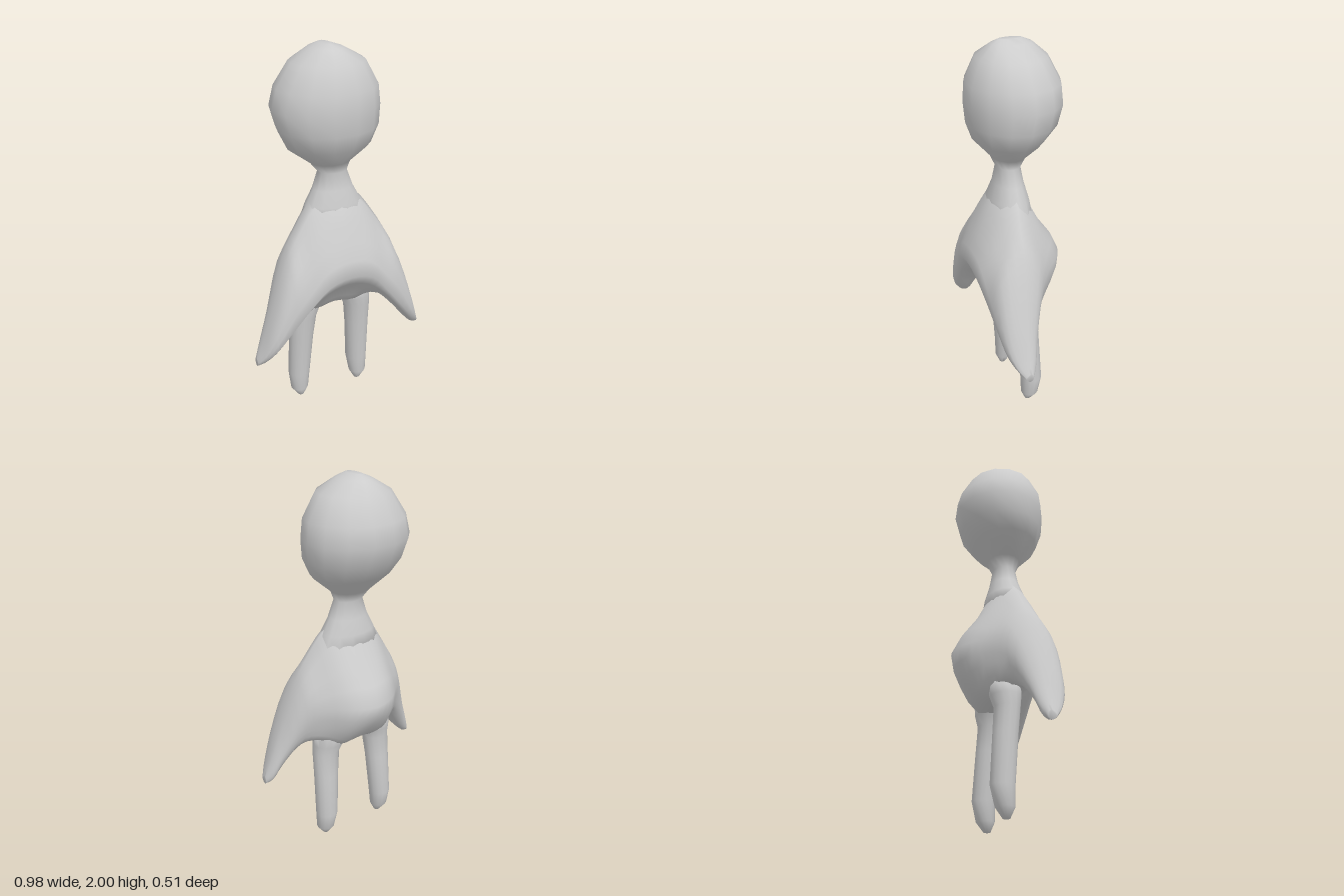
import * as THREE from 'three';

// Closed skin over equal loops of points; loops turn counter-clockwise about the loft direction
function skin(loops) {
  const n = loops[0].length, last = (loops.length - 1) * n, index = [];
  for (let i = 0; i < last; i += n) {
    for (let j = 0; j < n; j++) {
      const a = i + j, b = i + (j + 1) % n;
      index.push(a, b, a + n, b, b + n, a + n);
    }
  }
  for (let j = 1; j < n - 1; j++) {
    index.push(0, j + 1, j, last, last + j, last + j + 1);
  }
  const g = new THREE.BufferGeometry().setFromPoints(loops.flat());
  g.setIndex(index);
  g.computeVertexNormals();
  return g;
}

// Horizontal elliptic sections from bottom to top: [y, xMin, xMax, zFront, zBack]
function stack(rings) {
  const seg = 14;
  return skin(rings.map(([y, x0, x1, zf, zb]) => Array.from({ length: seg }, (_, j) => {
    const a = (j / seg) * Math.PI * 2;
    return new THREE.Vector3(
      (x0 + x1) / 2 + Math.cos(a) * (x1 - x0) / 2, y,
      (zf + zb) / 2 - Math.sin(a) * (zf - zb) / 2);
  })));
}

// Upright slices [x, [y, z]...] from the middle of the body to one wrist. Each runs
// from the top ridge down the front to the hem, underneath, then up the back.
const SLICES = [
  [0, [1.3, 0.02], [1.2, 0.125], [1.03, 0.205], [0.86, 0.258], [0.74, 0.15],
    [0.61, 0.05], [0.59, -0.07], [0.72, -0.2], [0.86, -0.255], [1.06, -0.13]],
  [0.12, [1.24, 0.03], [1.15, 0.12], [1.0, 0.2], [0.83, 0.255], [0.71, 0.15],
    [0.6, 0.06], [0.59, -0.08], [0.72, -0.18], [0.86, -0.215], [1.05, -0.11]],
  [0.22, [1.11, 0.05], [1.03, 0.13], [0.9, 0.205], [0.72, 0.235], [0.66, 0.16],
    [0.63, 0.05], [0.64, -0.06], [0.73, -0.1], [0.85, -0.12], [0.98, -0.06]],
  [0.3, [0.97, 0.06], [0.92, 0.15], [0.8, 0.21], [0.62, 0.22], [0.575, 0.16],
    [0.575, 0.07], [0.63, 0.0], [0.7, -0.03], [0.8, -0.045], [0.9, -0.02]],
  [0.4, [0.69, 0.09], [0.66, 0.16], [0.58, 0.2], [0.49, 0.195], [0.45, 0.15],
    [0.45, 0.1], [0.49, 0.06], [0.55, 0.035], [0.6, 0.035], [0.65, 0.05]],
  [0.455, [0.52, 0.1], [0.5, 0.14], [0.46, 0.17], [0.42, 0.155], [0.395, 0.13],
    [0.39, 0.1], [0.41, 0.075], [0.44, 0.065], [0.47, 0.065], [0.5, 0.075]],
];

// Body and both arms as one cape-like skin, lofted from hand to hand
function cape() {
  const [wristX, ...wrist] = SLICES[SLICES.length - 1];
  const tip = [wristX + 0.033, ...wrist.map(([y, z]) => [0.4 + (y - 0.45) * 0.35, 0.11 + (z - 0.11) * 0.4])];
  const left = [...SLICES, tip];
  const right = left.slice(1).reverse().map(([x, ...pts]) => [-x, ...pts]);
  const loops = [...right, ...left].map(([x, ...pts]) =>
    new THREE.CatmullRomCurve3(pts.map(([y, z]) => new THREE.Vector3(x, y, z)), true)
      .getPoints(20).slice(0, 20));
  // Smooth every lengthwise line across the slices
  const lines = loops[0].map((_, j) =>
    new THREE.CatmullRomCurve3(loops.map(loop => loop[j])).getPoints((loops.length - 1) * 3));
  return skin(lines[0].map((_, i) => lines.map(line => line[i])));
}

export function createModel() {
  const model = new THREE.Group();
  const clay = new THREE.MeshStandardMaterial({ color: 0xcccccc });
  clay.name = 'grey clay';

  const add = (name, geometry) => {
    const mesh = new THREE.Mesh(geometry, clay);
    mesh.name = name;
    model.add(mesh);
  };

  add('bodyAndArms', cape());

  // Thin neck flaring into the shoulders, and the round head
  add('neckAndHead', stack([
    [1.08, -0.2, 0.2, 0.145, -0.095],
    [1.2, -0.152, 0.152, 0.128, -0.078],
    [1.28, -0.11, 0.11, 0.1, -0.055],
    [1.37, -0.08, 0.075, 0.085, -0.04],
    [1.42, -0.12, 0.095, 0.105, -0.07],
    [1.51, -0.24, 0.2, 0.19, -0.155],
    [1.6, -0.28, 0.245, 0.222, -0.225],
    [1.7, -0.305, 0.255, 0.228, -0.255],
    [1.8, -0.28, 0.24, 0.225, -0.245],
    [1.92, -0.205, 0.17, 0.175, -0.18],
    [1.98, -0.1, 0.06, 0.1, -0.11],
    [2.0, -0.05, 0.0, 0.06, -0.06],
  ]));

  // Straight legs with small rounded feet
  const leg = [
    [0.0, 0.165, 0.2, 0.0, -0.035],
    [0.05, 0.138, 0.237, 0.022, -0.072],
    [0.15, 0.123, 0.245, 0.024, -0.095],
    [0.4, 0.105, 0.242, 0.044, -0.08],
    [0.53, 0.09, 0.242, 0.057, -0.072],
    [0.59, 0.065, 0.242, 0.065, -0.09],
    [0.68, 0.03, 0.235, 0.07, -0.1],
  ];
  add('leftLeg', stack(leg));
  add('rightLeg', stack(leg.map(([y, x0, x1, ...z]) => [y, -x1, -x0, ...z])));

  return model;
}
